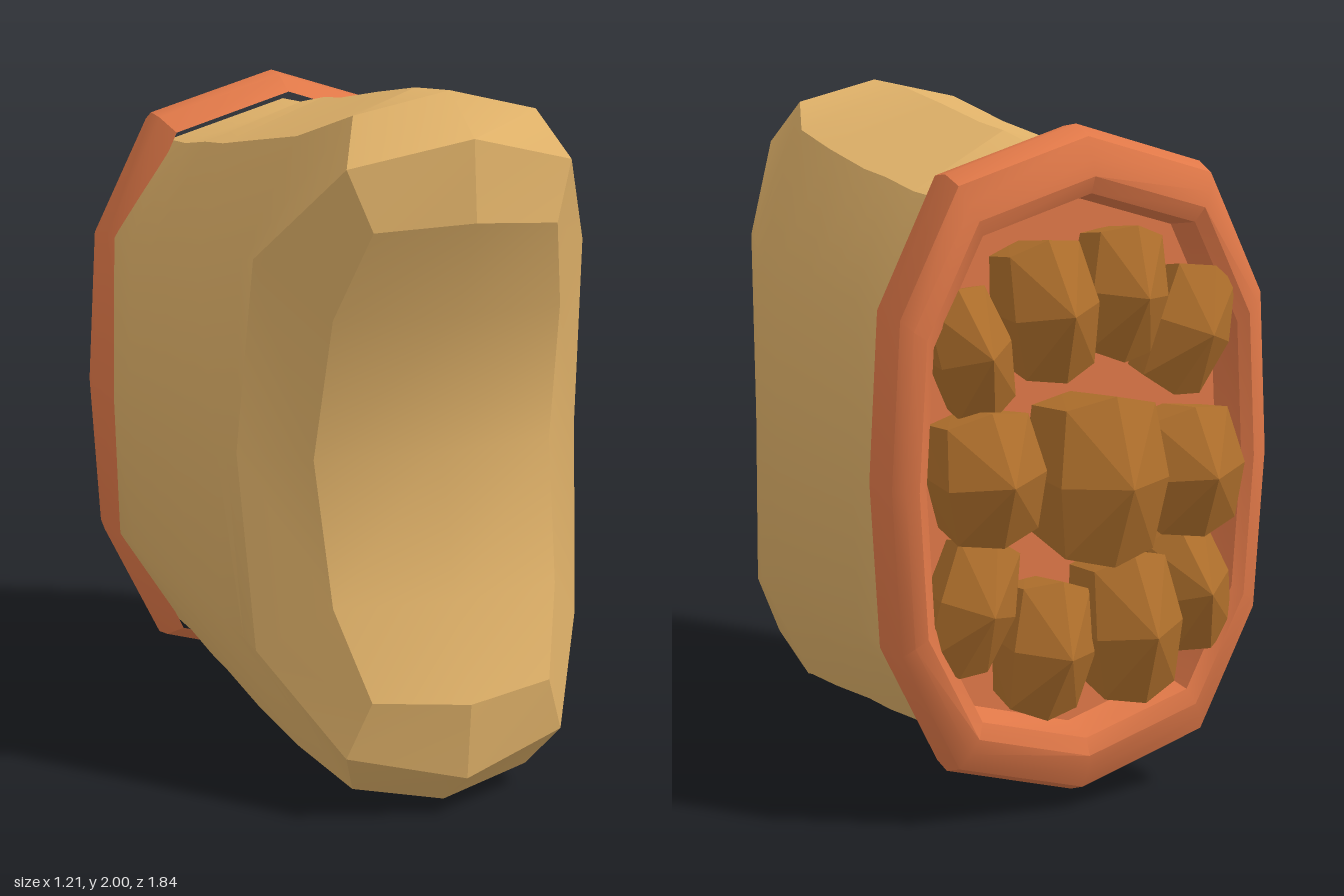
import * as THREE from 'three';
import { toCreasedNormals } from 'three/addons/utils/BufferGeometryUtils.js';

const tan = new THREE.MeshStandardMaterial({ color: 0xdeb068 });
const orange = new THREE.MeshStandardMaterial({ color: 0xe07848 });
const brown = new THREE.MeshStandardMaterial({ color: 0xb0702c });

// Twelve-sided ring from its upper left quarter, mirrored both ways about y = 1
function ring(quarter) {
  const [p0, p1, p2, p3] = quarter;
  const flip = (p, sx, sy) => [p[0] * sx, 1 + p[1] * sy, p[2]];
  return [
    flip(p0, 1, 1), flip(p1, 1, 1), flip(p2, 1, 1), flip(p3, 1, 1),
    flip(p2, 1, -1), flip(p1, 1, -1), flip(p0, 1, -1),
    flip(p1, -1, -1), flip(p2, -1, -1), flip(p3, -1, 1),
    flip(p2, -1, 1), flip(p1, -1, 1),
  ];
}

// Skin a list of cross-sections; crease 0 keeps every face flat
function loft(rows, closed, crease) {
  const pos = [];
  for (let i = 0; i < rows.length - 1; i++) {
    const n = rows[i].length;
    for (let k = 0; k < (closed ? n : n - 1); k++) {
      const m = (k + 1) % n;
      const a = rows[i][k], b = rows[i][m], c = rows[i + 1][m], d = rows[i + 1][k];
      pos.push(...a, ...b, ...c, ...a, ...c, ...d);
    }
  }
  const geo = new THREE.BufferGeometry();
  geo.setAttribute('position', new THREE.Float32BufferAttribute(pos, 3));
  geo.computeVertexNormals();
  return crease ? toCreasedNormals(geo, crease) : geo;
}

function add(group, name, geo, material) {
  const mesh = new THREE.Mesh(geo, material);
  mesh.name = name;
  group.add(mesh);
  return mesh;
}

// Faceted tuft: an oval block with a raised centre, pointing to -z
function tuft(hx, hy, tip) {
  const outline = [[0, 1], [0.82, 0.86], [1, 0], [0.82, -0.86], [0, -1], [-0.82, -0.86], [-1, 0], [-0.82, 0.86]];
  const level = (s, zMid, zCorner) =>
    outline.map(([x, y], i) => [x * hx * s, y * hy * s, i % 2 ? zCorner : zMid]);
  return loft([level(0.85, -0.5, -0.5), level(1, -tip + 0.1, -tip + 0.13), level(0, -tip, -tip)], true, 0);
}

export function createModel() {
  const model = new THREE.Group();
  model.name = 'model';

  // Body: dish edge, front bevels, then sections running back
  const dishEdge = [[0, 0.665, 0.92], [0.27, 0.645, 0.86], [0.34, 0.4, 0.75], [0.36, 0, 0.66]];
  const frontEdge = [[0, 0.885, 0.9], [0.33, 0.81, 0.82], [0.5, 0.55, 0.575], [0.525, 0, 0.5]];
  const shoulder = [[0, 1, 0.745], [0.27, 0.94, 0.72], [0.513, 0.53, 0.51], [0.535, 0, 0.44]];
  const sections = [
    // z at top, z at side, top y, corner x, corner y, side x, side y, middle x
    [0.52, 0.4, 0.99, 0.35, 0.87, 0.535, 0.5, 0.55],
    [0.26, 0.25, 0.957, 0.37, 0.835, 0.55, 0.48, 0.56],
    [0, 0, 0.92, 0.375, 0.8, 0.553, 0.475, 0.563],
    [-0.15, -0.15, 0.908, 0.375, 0.79, 0.555, 0.47, 0.565],
    [-0.33, -0.33, 0.88, 0.375, 0.768, 0.557, 0.47, 0.57],
    [-0.48, -0.48, 0.878, 0.375, 0.765, 0.557, 0.47, 0.575],
  ].map(([zt, zs, ty, cx, cy, sx, sy, mx]) => ring([[0, ty, zt], [cx, cy, zt], [sx, sy, zs], [mx, 0, zs]]));
  add(model, 'body', loft([ring(frontEdge), ring(shoulder), ...sections], true, 0.6), tan);
  add(model, 'frontBevel', loft([ring(dishEdge), ring(frontEdge)], true, 0.35), tan);

  // Hollow front face, rows from bottom to top
  const half = [[0.27, 0.645, 0.86, 0.665, 0.92], [0.34, 0.4, 0.75, 0.4, 0.81], [0.36, 0, 0.66, 0, 0.71]];
  const row = ([x, y, z, yc, zc], s) => [[-x, 1 + s * y, z], [0, 1 + s * yc, zc], [x, 1 + s * y, z]];
  const dishRows = [row(half[0], -1), row(half[1], -1), row(half[2], 1), row(half[1], 1), row(half[0], 1)];
  add(model, 'frontDish', loft(dishRows, false, 0.6), tan);

  // Rim: rounded collar turning inward to a recessed floor
  const rimShape = [[0, 0.96], [0.4, 0.84], [0.577, 0.48], [0.605, 0]];
  const rimRings = [
    [-0.43, 0.92, 0.94], [-0.51, 0.99, 0.988], [-0.58, 1, 1], [-0.65, 0.985, 0.97],
    [-0.68, 0.94, 0.91], [-0.69, 0.88, 0.86], [-0.67, 0.83, 0.81], [-0.56, 0.8, 0.79], [-0.56, 0, 0],
  ].map(([z, sx, sy]) => ring(rimShape.map(([x, y]) => [x * sx, y * sy, z])));
  add(model, 'rim', loft(rimRings, true, 0.6), orange);

  // Tufts filling the rim: x, y, tip, half width, half height, turn
  const tufts = new THREE.Group();
  tufts.name = 'tufts';
  [
    [0, 1, 0.92, 0.17, 0.24, 0],
    [0.32, 1.02, 0.84, 0.15, 0.19, 0.1],
    [-0.32, 0.98, 0.84, 0.15, 0.19, 0.1],
    [0.35, 1.36, 0.77, 0.11, 0.19, 0.3],
    [0.14, 1.47, 0.84, 0.13, 0.2, 0.15],
    [-0.1, 1.5, 0.82, 0.12, 0.19, -0.1],
    [-0.32, 1.38, 0.8, 0.12, 0.19, -0.35],
    [0.35, 0.65, 0.78, 0.12, 0.2, -0.3],
    [0.13, 0.51, 0.82, 0.13, 0.2, -0.12],
    [-0.12, 0.55, 0.86, 0.14, 0.22, 0.1],
    [-0.34, 0.63, 0.79, 0.12, 0.2, 0.3],
  ].forEach(([x, y, tip, hx, hy, turn]) => {
    const mesh = add(tufts, 'tuft', tuft(hx, hy, tip), brown);
    mesh.position.set(x, y, 0);
    mesh.rotation.z = -turn;
  });
  model.add(tufts);
  return model;
}
